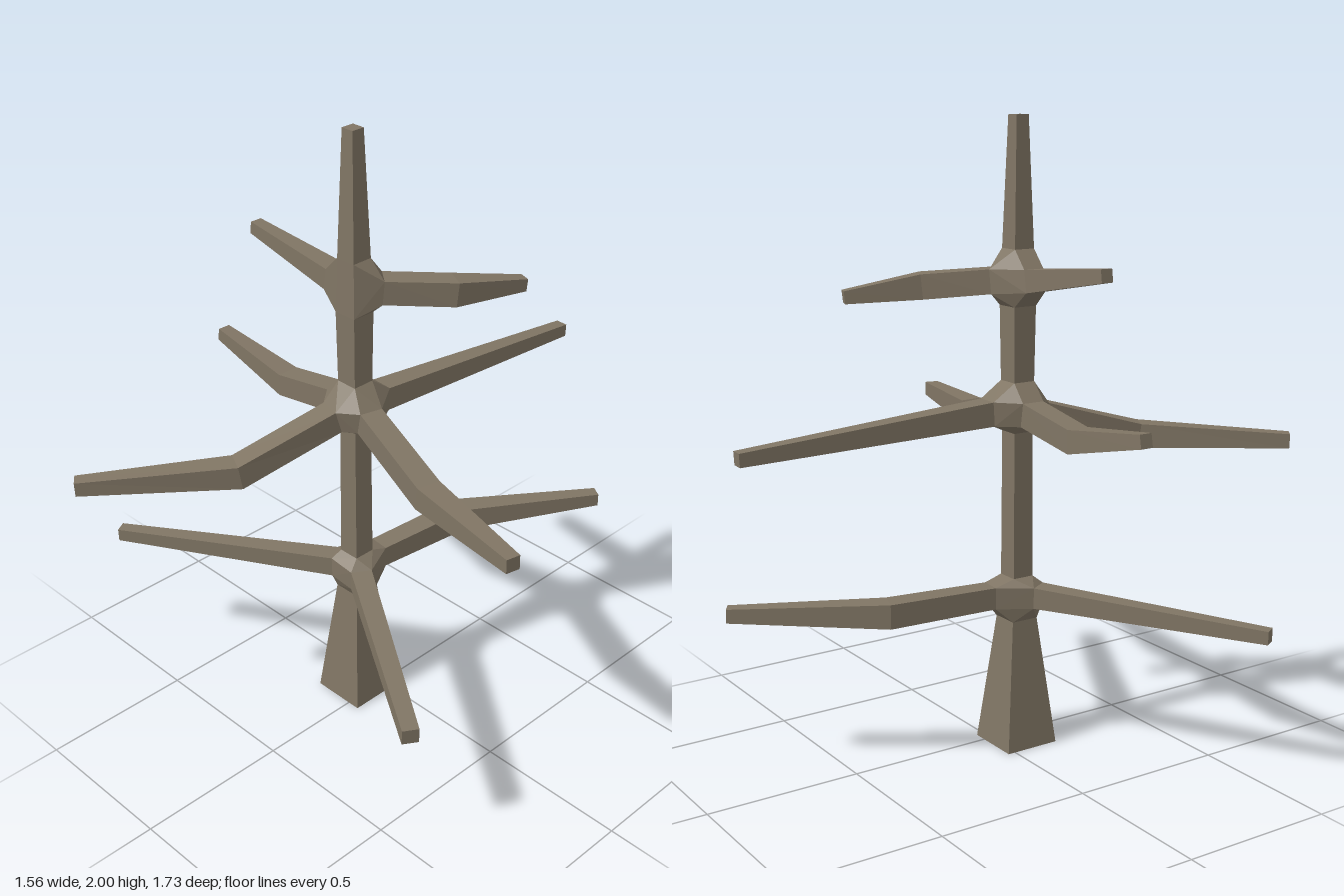
import * as THREE from 'three';
import { ConvexGeometry } from 'three/addons/geometries/ConvexGeometry.js';

const V = (x, y, z) => new THREE.Vector3(x, y, z);
const UP = V(0, 1, 0);
const AX = -0.05, AZ = 0.067; // trunk axis

// Four corners of a square section, counter-clockwise around dir
function ring(c, dir, half) {
  const side = Math.abs(dir.y) > 0.99 ? V(1, 0, 0) : dir.clone().cross(UP).normalize();
  const up = side.clone().cross(dir).normalize();
  return [[1, 1], [1, -1], [-1, -1], [-1, 1]].map(([s, u]) =>
    c.clone().addScaledVector(side, s * half).addScaledVector(up, u * half));
}

// Rings along a path, each square to the bisector of its neighbours
function ringsAlong(points, halves) {
  return points.map((p, i) => {
    const dir = V(0, 0, 0);
    if (i > 0) dir.add(p.clone().sub(points[i - 1]).normalize());
    if (i < points.length - 1) dir.add(points[i + 1].clone().sub(p).normalize());
    return ring(p, dir.normalize(), halves[i]);
  });
}

// Closed square limb with flat faces
function limb(rings) {
  const pos = [];
  const quad = (a, b, c, d) => [a, b, c, a, c, d].forEach(p => pos.push(p.x, p.y, p.z));
  for (let r = 0; r < rings.length - 1; r++) {
    const a = rings[r], b = rings[r + 1];
    for (let i = 0; i < 4; i++) {
      const j = (i + 1) % 4;
      quad(a[i], a[j], b[j], b[i]);
    }
  }
  quad(...rings[rings.length - 1]);
  quad(...rings[0].slice().reverse());
  const g = new THREE.BufferGeometry();
  g.setAttribute('position', new THREE.Float32BufferAttribute(pos, 3));
  g.computeVertexNormals();
  return g;
}

// Each tier: trunk sections below and above the hub [y, half], and its branches.
// Branch points run from hub to tip; halves give the section sizes.
const TIERS = [
  {
    name: 'lower', below: [0.42, 0.046], above: [0.56, 0.036],
    branches: [
      { pts: [[-0.115, 0.5, 0.105], [-0.77, 0.483, 0.488]], halves: [0.034, 0.021] },
      { pts: [[0.015, 0.495, 0.11], [0.615, 0.443, 0.493]], halves: [0.034, 0.026] },
      { pts: [[-0.045, 0.505, -0.03], [-0.012, 0.505, -0.385], [0.25, 0.507, -0.802]], halves: [0.035, 0.039, 0.022] },
    ],
  },
  {
    name: 'middle', below: [1.03, 0.034], above: [1.19, 0.037],
    branches: [
      { pts: [[-0.045, 1.1, -0.04], [0, 1.053, -0.865]], halves: [0.038, 0.021] },
      { pts: [[-0.135, 1.098, 0.063], [-0.37, 1.06, 0.062], [-0.69, 1.12, 0.061]], halves: [0.038, 0.037, 0.021] },
      { pts: [[0.035, 1.09, 0.088], [0.36, 1.008, 0.17], [0.77, 1.012, 0.258]], halves: [0.038, 0.039, 0.023] },
      { pts: [[-0.07, 1.083, 0.145], [-0.15, 0.99, 0.465], [-0.447, 0.977, 0.848]], halves: [0.038, 0.039, 0.023] },
    ],
  },
  {
    name: 'upper', below: [1.425, 0.04], above: [1.6, 0.035],
    branches: [
      { pts: [[-0.145, 1.51, 0.063], [-0.5, 1.562, 0.061]], halves: [0.035, 0.02] },
      { pts: [[0.005, 1.5, 0.005], [0.138, 1.482, -0.165], [0.215, 1.455, -0.395]], halves: [0.038, 0.039, 0.02] },
    ],
  },
];

export function createModel() {
  const model = new THREE.Group();
  model.name = 'bareTree';
  const bark = new THREE.MeshStandardMaterial({ color: 0x807564, flatShading: true });
  bark.name = 'bark';
  const add = (parent, name, geometry) => {
    const mesh = new THREE.Mesh(geometry, bark);
    mesh.name = name;
    parent.add(mesh);
  };

  let start = [0, 0.092]; // flared foot
  for (const tier of TIERS) {
    const group = new THREE.Group();
    group.name = tier.name + 'Tier';
    model.add(group);

    // Trunk section leading up to this tier
    const trunkRing = ([y, half]) => ring(V(AX, y, AZ), UP, half);
    const below = trunkRing(tier.below), above = trunkRing(tier.above);
    add(group, tier.name + 'Trunk', limb([trunkRing(start), below]));

    // Branches, and the faceted hub joining them to the trunk
    const hub = [...below, ...above];
    tier.branches.forEach(({ pts, halves }, i) => {
      const rings = ringsAlong(pts.map(p => V(...p)), halves);
      hub.push(...rings[0]);
      add(group, `${tier.name}Branch${i + 1}`, limb(rings));
    });
    add(group, tier.name + 'Hub', new ConvexGeometry(hub));
    start = tier.above;
  }

  // Tapering leader at the top
  add(model, 'treeTop', limb([ring(V(AX, start[0], AZ), UP, start[1]), ring(V(AX, 2, AZ), UP, 0.022)]));
  return model;
}
